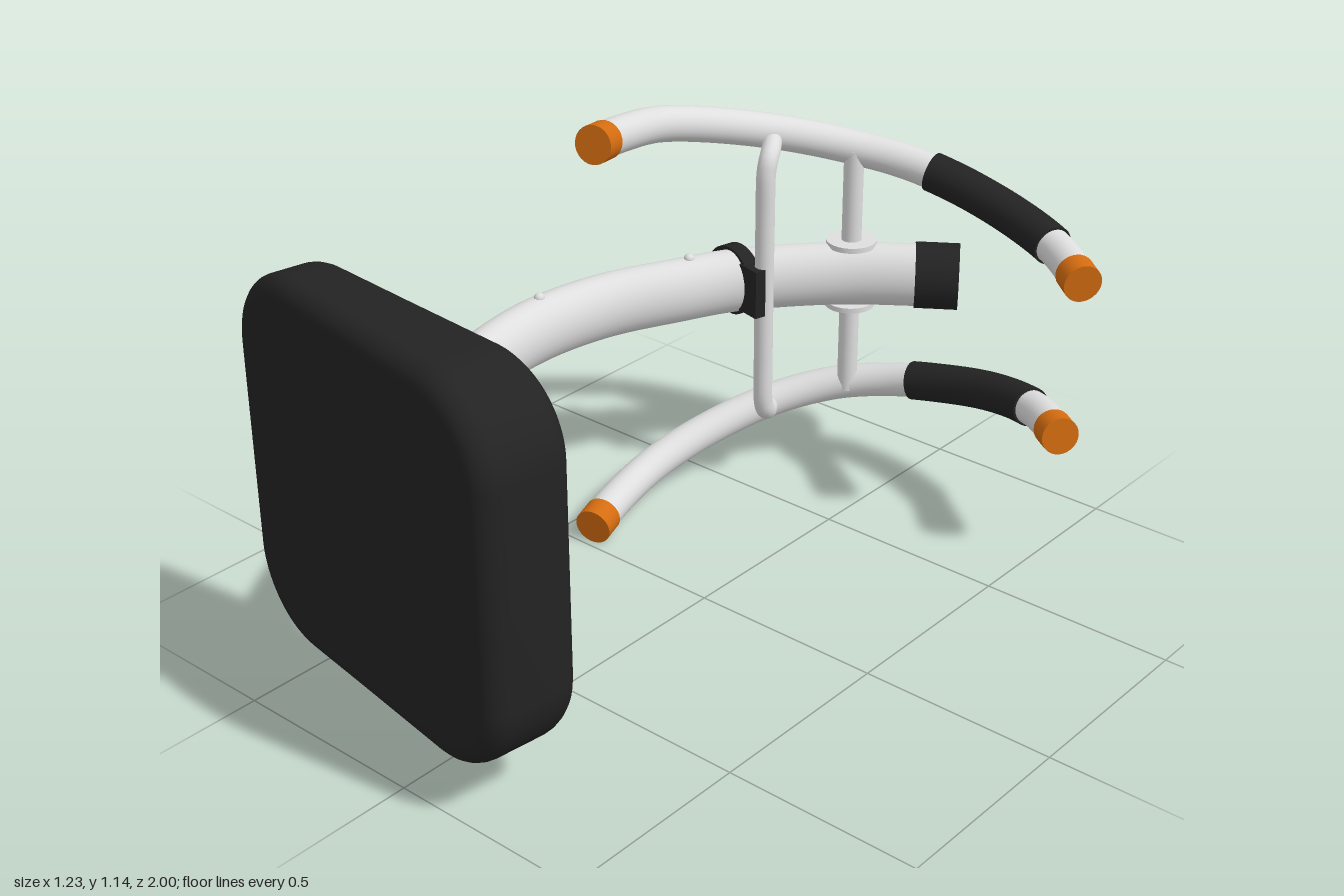
import * as THREE from 'three';
import { toCreasedNormals } from 'three/addons/utils/BufferGeometryUtils.js';

const V = (x, y, z) => new THREE.Vector3(x, y, z);
const MID = 0.565; // height of the main tube axis

// Capped elliptical tube along part of a curve; skew slants the starting cut
function sweep(curve, t0, t1, rx, ry, steps = 32, skew = 0) {
  const N = 28, pos = [], nor = [], idx = [];
  const put = (p, n) => (pos.push(p.x, p.y, p.z), nor.push(n.x, n.y, n.z));
  const ring = (i, flat) => {
    const t = t0 + (t1 - t0) * i / steps;
    const c = curve.getPointAt(t), T = curve.getTangentAt(t);
    const side = T.clone().cross(V(0, 1, 0)).normalize();
    const up = side.clone().cross(T);
    const k = skew * Math.pow(1 - i / steps, 10);
    for (let j = 0; j <= N; j++) {
      const a = j / N * Math.PI * 2, co = Math.cos(a), si = Math.sin(a);
      const p = c.clone().addScaledVector(side, co * rx).addScaledVector(up, si * ry).addScaledVector(T, k * co);
      const n = side.clone().multiplyScalar(co / rx).addScaledVector(up, si / ry).normalize();
      put(p, flat ? T.clone().multiplyScalar(flat) : n);
    }
    return { c, T };
  };
  for (let i = 0; i <= steps; i++) ring(i, 0);
  for (let i = 0; i < steps; i++) for (let j = 0; j < N; j++) {
    const a = i * (N + 1) + j, b = a + 1, c = a + N + 1, d = c + 1;
    idx.push(a, c, b, b, c, d);
  }
  for (const [i, s] of [[0, -1], [steps, 1]]) {
    const base = pos.length / 3;
    const { c, T } = ring(i, s);
    put(c, T.clone().multiplyScalar(s));
    const m = base + N + 1;
    for (let j = 0; j < N; j++) s < 0 ? idx.push(m, base + j, base + j + 1) : idx.push(m, base + j + 1, base + j);
  }
  const g = new THREE.BufferGeometry();
  g.setAttribute('position', new THREE.Float32BufferAttribute(pos, 3));
  g.setAttribute('normal', new THREE.Float32BufferAttribute(nor, 3));
  g.setIndex(idx);
  return g;
}

// Rounded square cushion, thicker towards +x
function padGeometry() {
  const h = 0.465, r = 0.21, b = 0.05, depth = 0.2, s = new THREE.Shape();
  s.moveTo(-h + r, -h);
  s.lineTo(h - r, -h); s.absarc(h - r, -h + r, r, -Math.PI / 2, 0);
  s.lineTo(h, h - r); s.absarc(h - r, h - r, r, 0, Math.PI / 2);
  s.lineTo(-h + r, h); s.absarc(-h + r, h - r, r, Math.PI / 2, Math.PI);
  s.lineTo(-h, -h + r); s.absarc(-h + r, -h + r, r, Math.PI, Math.PI * 1.5);
  const g = new THREE.ExtrudeGeometry(s, {
    depth: depth - 2 * b, bevelSize: b, bevelThickness: b, bevelOffset: -b, bevelSegments: 6, curveSegments: 12,
  });
  const p = g.attributes.position;
  for (let i = 0; i < p.count; i++) {
    const u = (p.getZ(i) + b) / depth;
    const x = p.getX(i) - 0.155 - (u - 0.5) * 0.03;
    const back = 0.743 + 0.074 * x, front = 0.958 + 0.172 * x;
    p.setXYZ(i, x, p.getY(i) + MID, back + u * (front - back));
  }
  return toCreasedNormals(g, 0.6);
}

export function createModel() {
  const model = new THREE.Group();
  model.name = 'exerciseFrame';
  const mat = (name, color) => {
    const m = new THREE.MeshStandardMaterial({ color });
    m.name = name;
    return m;
  };
  const white = mat('whitePaint', 0xdedede), black = mat('blackRubber', 0x232323), orange = mat('orangeCap', 0xd46c10);
  const add = (name, geo, m, parent = model) => {
    const mesh = new THREE.Mesh(geo, m);
    mesh.name = name;
    parent.add(mesh);
    return mesh;
  };

  add('pad', padGeometry(), black);

  // Flange where the tube meets the pad
  const flange = add('padFlange', new THREE.CylinderGeometry(0.105, 0.115, 0.04, 40), black);
  flange.rotation.set(-Math.PI / 2, 0, 0);
  flange.scale.x = 1.2;
  const flangeTurn = new THREE.Group();
  flangeTurn.name = 'padFlangeMount';
  flangeTurn.add(flange);
  flangeTurn.position.set(-0.285, MID, 0.712);
  flangeTurn.rotation.y = -0.08;
  model.add(flangeTurn);

  // Curved main tube: thin inner section, thick outer section, end cap
  const spine = new THREE.CatmullRomCurve3([
    [-0.25, 0.74], [-0.43, 0.42], [-0.515, 0.18], [-0.535, 0], [-0.505, -0.2], [-0.43, -0.38],
    [-0.35, -0.54], [-0.18, -0.74], [-0.02, -0.865], [0.075, -0.93],
  ].map(([x, z]) => V(x, MID, z)), false, 'centripetal');
  add('innerTube', sweep(spine, 0, 0.25, 0.06, 0.073), white);
  add('outerTube', sweep(spine, 0.185, 0.96, 0.066, 0.085, 80, -0.06), white);
  add('endCap', sweep(spine, 0.942, 1, 0.085, 0.087, 8), black);
  for (const [x, z] of [[-0.535, 0], [-0.41, -0.42]]) {
    add('bolt', new THREE.SphereGeometry(0.014, 16, 8), white).position.set(x, MID + 0.083, z);
  }

  // Two curved handles, mirrored above and below the main tube
  const handlePath = [
    [-0.365, 0.52, -0.025], [-0.397, 0.503, -0.15], [-0.415, 0.478, -0.31], [-0.385, 0.437, -0.475],
    [-0.3, 0.383, -0.66], [-0.18, 0.34, -0.785], [-0.05, 0.312, -0.85], [0.095, 0.283, -0.872],
    [0.27, 0.247, -0.862], [0.43, 0.221, -0.81], [0.575, 0.206, -0.705],
  ];
  for (const [name, s, dx, dz] of [['upperHandle', 1, 0, 0], ['lowerHandle', -1, -0.02, 0.012]]) {
    const handle = new THREE.Group();
    handle.name = name;
    model.add(handle);
    const curve = new THREE.CatmullRomCurve3(
      handlePath.map(([x, y, z]) => V(x + dx, MID + s * y, z + dz)), false, 'centripetal');
    add('handleTube', sweep(curve, 0.02, 0.98, 0.045, 0.045, 80), white, handle);
    add('grip', sweep(curve, 0.64, 0.885, 0.051, 0.051, 24), black, handle);
    add('frontTip', sweep(curve, 0, 0.035, 0.048, 0.048, 4), orange, handle);
    add('rearTip', sweep(curve, 0.965, 1, 0.048, 0.048, 4), orange, handle);
  }

  // Straight post with collars on the main tube
  add('post', new THREE.CylinderGeometry(0.026, 0.026, 0.68, 24), white).position.set(-0.16, MID, -0.775);
  for (const s of [1, -1]) {
    add('collar', new THREE.CylinderGeometry(0.066, 0.066, 0.014, 32), white).position.set(-0.16, MID + s * 0.085, -0.775);
  }

  // Bent brace joining both handles
  const bend = [[-0.315, 0.385, -0.635], [-0.275, 0.37, -0.58], [-0.262, 0.35, -0.553], [-0.26, 0.32, -0.543], [-0.26, 0.2, -0.541]];
  const bracePts = [...bend, ...bend.slice().reverse().map(([x, y, z]) => [x, -y, z])];
  const brace = new THREE.CatmullRomCurve3(bracePts.map(([x, y, z]) => V(x, MID + y, z)), false, 'centripetal');
  add('brace', new THREE.TubeGeometry(brace, 80, 0.025, 16), white);

  // Strap clamping the brace to the main tube
  const strap = new THREE.Group();
  strap.name = 'strap';
  strap.position.set(-0.36, MID, -0.545);
  strap.rotation.y = -0.23;
  model.add(strap);
  const band = add('strapBand', new THREE.CylinderGeometry(0.092, 0.092, 0.04, 40), black, strap);
  band.rotation.x = Math.PI / 2;
  add('strapClamp', new THREE.BoxGeometry(0.07, 0.13, 0.05), black, strap).position.set(0.085, 0, 0);

  return model;
}
